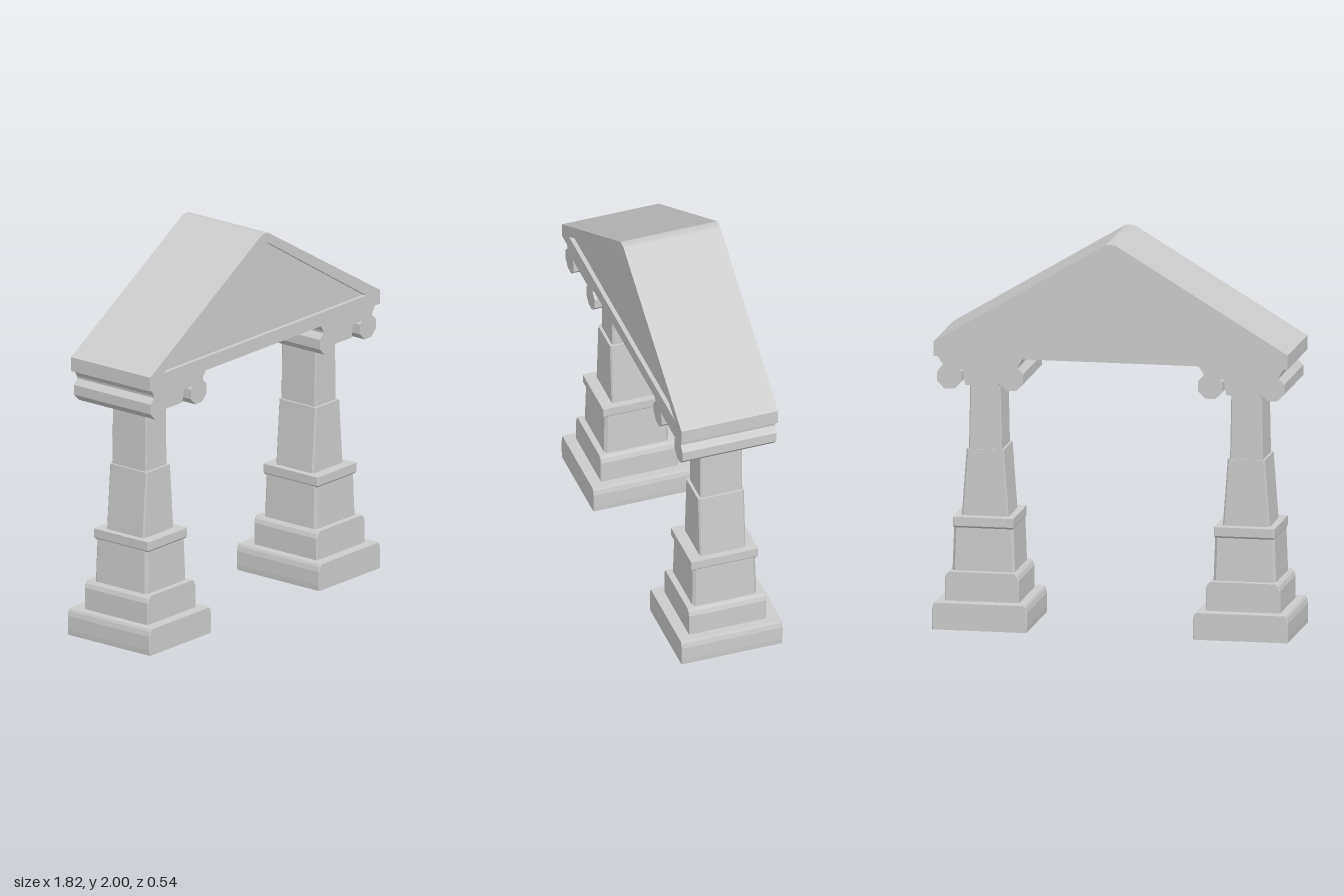
import * as THREE from 'three';

const material = new THREE.MeshStandardMaterial({ color: 0xcccccc, flatShading: true });

function addMesh(parent, name, geometry) {
  const mesh = new THREE.Mesh(geometry, material);
  mesh.name = name;
  parent.add(mesh);
  return mesh;
}

// Stacks chamfered rectangles [y, halfX, halfZ, chamfer] into a closed solid
function loft(sections) {
  const positions = [];
  const rings = sections.map(([y, a, b, c = 0.004]) => [
    [a, b - c], [a - c, b], [c - a, b], [-a, b - c],
    [-a, c - b], [c - a, -b], [a - c, -b], [a, c - b],
  ].map(([x, z]) => [x, y, z]));
  const tri = (...points) => points.forEach((p) => positions.push(...p));
  for (let i = 0; i + 1 < rings.length; i++) {
    const lower = rings[i], upper = rings[i + 1];
    for (let j = 0; j < 8; j++) {
      const k = (j + 1) % 8;
      tri(lower[j], upper[j], lower[k]);
      tri(lower[k], upper[j], upper[k]);
    }
  }
  const first = rings[0], last = rings[rings.length - 1];
  for (let j = 1; j < 7; j++) {
    tri(first[0], first[j], first[j + 1]);
    tri(last[0], last[j + 1], last[j]);
  }
  const geometry = new THREE.BufferGeometry();
  geometry.setAttribute('position', new THREE.Float32BufferAttribute(positions, 3));
  geometry.computeVertexNormals();
  return geometry;
}

function shapeOf(points) {
  return new THREE.Shape(points.map(([x, y]) => new THREE.Vector2(x, y)));
}

// Extrudes an outline along z from back to front
function slab(shape, back, front) {
  return new THREE.ExtrudeGeometry(shape, { depth: front - back, bevelEnabled: false })
    .translate(0, 0, back);
}

function createColumn() {
  const column = new THREE.Group();
  column.name = 'column';

  // Plinth starts with a shallow recess in its underside
  addMesh(column, 'plinth', loft([
    [0.02, 0.14, 0.155], [0, 0.241, 0.268], [0.03, 0.243, 0.268],
    [0.1, 0.243, 0.268], [0.125, 0.237, 0.268], [0.137, 0.23, 0.268],
  ]));
  addMesh(column, 'baseStep', loft([
    [0.137, 0.19, 0.205], [0.25, 0.19, 0.205], [0.272, 0.182, 0.205], [0.285, 0.17, 0.205],
  ])).position.z = 0.005;
  addMesh(column, 'pedestal', loft([
    [0.285, 0.16, 0.17, 0.014], [0.51, 0.152, 0.166, 0.014],
  ])).position.z = 0.008;
  addMesh(column, 'pedestalBand', loft([
    [0.505, 0.15, 0.168], [0.515, 0.155, 0.178], [0.56, 0.155, 0.178],
  ])).position.z = 0.008;
  addMesh(column, 'lowerShaft', loft([
    [0.56, 0.12, 0.122, 0.008], [0.9, 0.095, 0.122, 0.008],
  ])).position.z = 0.005;
  addMesh(column, 'upperShaft', loft([
    [0.9, 0.084, 0.112, 0.006], [1.25, 0.077, 0.112, 0.006],
  ]));

  // Capital: flared neck, abacus and a pair of scroll rolls
  addMesh(column, 'capitalNeck', slab(shapeOf([
    [-0.085, 1.245], [0.085, 1.245], [0.095, 1.3], [0.125, 1.34], [-0.125, 1.34], [-0.095, 1.3],
  ]), -0.2, 0.21));
  addMesh(column, 'abacus', slab(shapeOf([
    [-0.19, 1.335], [0.19, 1.335], [0.193, 1.36], [0.22, 1.4], [-0.22, 1.4], [-0.193, 1.36],
  ]), -0.246, 0.255));
  for (const side of [-1, 1]) {
    const roll = new THREE.CylinderGeometry(0.067, 0.067, 0.498, 8)
      .rotateX(Math.PI / 2).rotateZ(Math.PI / 8).translate(side * 0.158, 1.294, 0.006);
    addMesh(column, side < 0 ? 'rightScroll' : 'leftScroll', roll);
  }
  return column;
}

function createPediment() {
  const pediment = new THREE.Group();
  pediment.name = 'pediment';
  const outline = [
    [-0.905, 1.397], [0.905, 1.397], [0.905, 1.47],
    [0.025, 1.998], [0.012, 2], [-0.012, 2], [-0.025, 1.998], [-0.905, 1.47],
  ];
  addMesh(pediment, 'gableBlock', slab(shapeOf(outline), -0.247, 0.245));

  // Raised border around the sunken triangular panel
  const frame = shapeOf(outline);
  frame.holes.push(new THREE.Path([
    [-0.8, 1.467], [-0.025, 1.945], [0.025, 1.945], [0.8, 1.467],
  ].map(([x, y]) => new THREE.Vector2(x, y))));
  addMesh(pediment, 'gableFrame', slab(frame, 0.245, 0.267));
  return pediment;
}

export function createModel() {
  const model = new THREE.Group();
  model.name = 'templeGateway';
  for (const side of [-1, 1]) {
    const column = createColumn();
    column.name = side < 0 ? 'rightColumn' : 'leftColumn';
    column.position.x = side * 0.667;
    model.add(column);
  }
  model.add(createPediment());
  return model;
}
